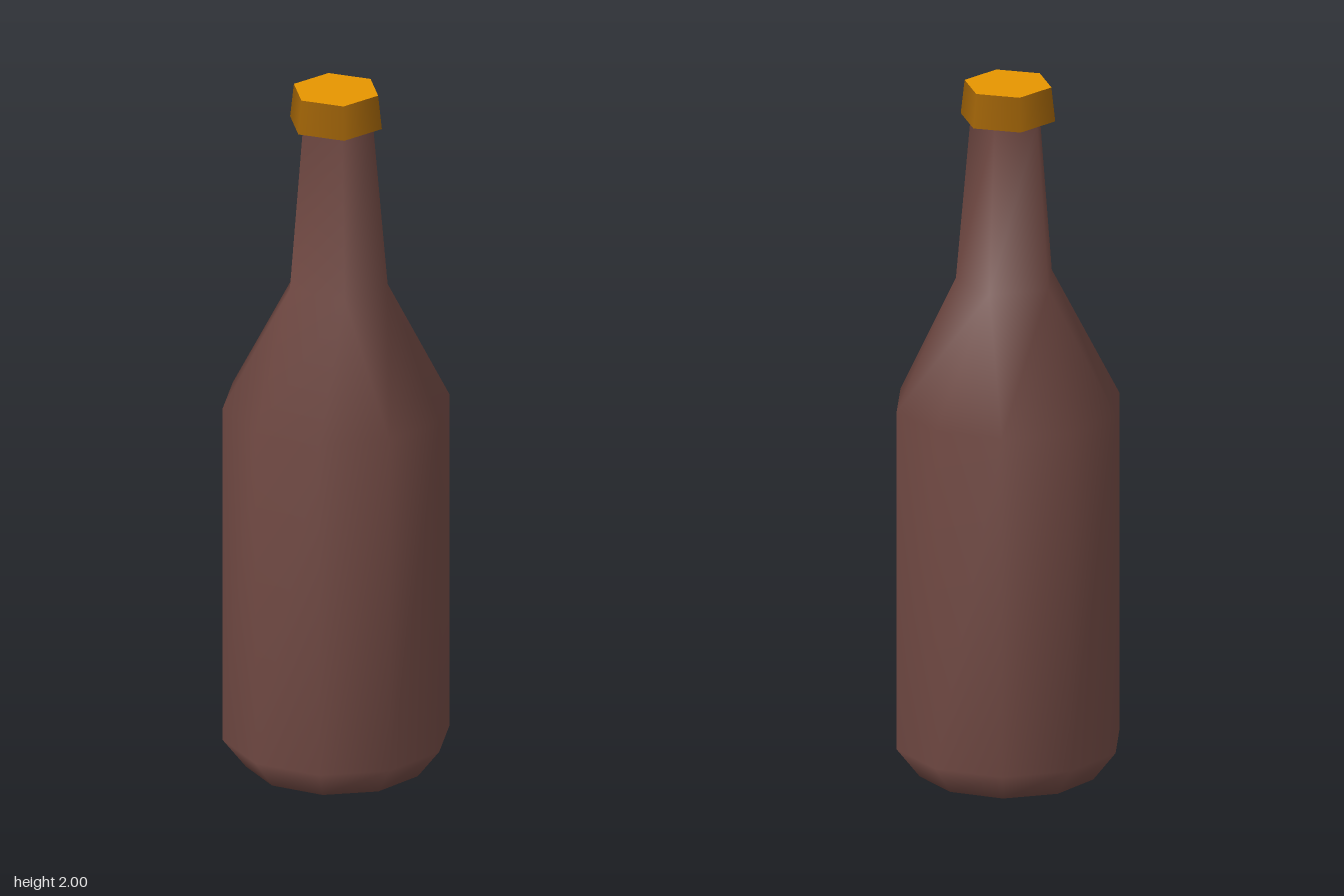
import * as THREE from 'three';

const SIDES = 10;

// Bottle surface from stacked rings: ten-sided body narrowing to a five-sided neck.
// Each neck corner sits between two body corners, so two body columns share it.
function bottleGeometry() {
  const rings = [
    { n: 10, y: 0, r: 0.252 },
    { n: 10, y: 0.085, r: 0.318 },
    { n: 10, y: 1.07, r: 0.318 },
    { n: 5, y: 1.43, r: 0.144 },
    { n: 5, y: 1.905, r: 0.103 },
  ];
  const positions = [], index = [], starts = [];
  for (const { n, y, r } of rings) {
    starts.push(positions.length / 3);
    for (let i = 0; i < n; i++) {
      const a = (i / n) * Math.PI * 2 + (n === 5 ? Math.PI / 10 : 0);
      positions.push(Math.cos(a) * r, y, Math.sin(a) * r);
    }
  }
  const at = (ring, k) => {
    const col = k % SIDES;
    return starts[ring] + (rings[ring].n === 5 ? Math.floor(col / 2) : col);
  };
  const tri = (a, b, c) => {
    if (a !== b && b !== c && a !== c) index.push(a, b, c);
  };
  for (let j = 0; j < rings.length - 1; j++) {
    for (let k = 0; k < SIDES; k++) {
      const a = at(j, k), b = at(j, k + 1), c = at(j + 1, k + 1), d = at(j + 1, k);
      tri(a, d, b);
      tri(b, d, c);
    }
  }
  // Closed base
  const centre = positions.length / 3;
  positions.push(0, 0, 0);
  for (let k = 0; k < SIDES; k++) tri(centre, at(0, k), at(0, k + 1));

  const geometry = new THREE.BufferGeometry();
  geometry.setAttribute('position', new THREE.Float32BufferAttribute(positions, 3));
  geometry.setIndex(index);
  geometry.computeVertexNormals();
  return geometry;
}

function material(name, color) {
  const m = new THREE.MeshStandardMaterial({ color });
  m.name = name;
  return m;
}

export function createModel() {
  const glass = material('brownGlass', 0x6f4842);
  const gold = material('brightGold', 0xe69500);
  const darkGold = material('darkGold', 0x9e6206);

  const model = new THREE.Group();
  model.name = 'bottle';

  const body = new THREE.Mesh(bottleGeometry(), glass);
  body.name = 'bottleBody';
  model.add(body);

  // Six-sided tapered cap: smooth dark rim, bright top, glass-coloured underside
  const cap = new THREE.Mesh(
    new THREE.CylinderGeometry(0.124, 0.135, 0.098, 6),
    [darkGold, gold, glass],
  );
  cap.name = 'cap';
  cap.position.y = 1.951;
  model.add(cap);

  return model;
}
